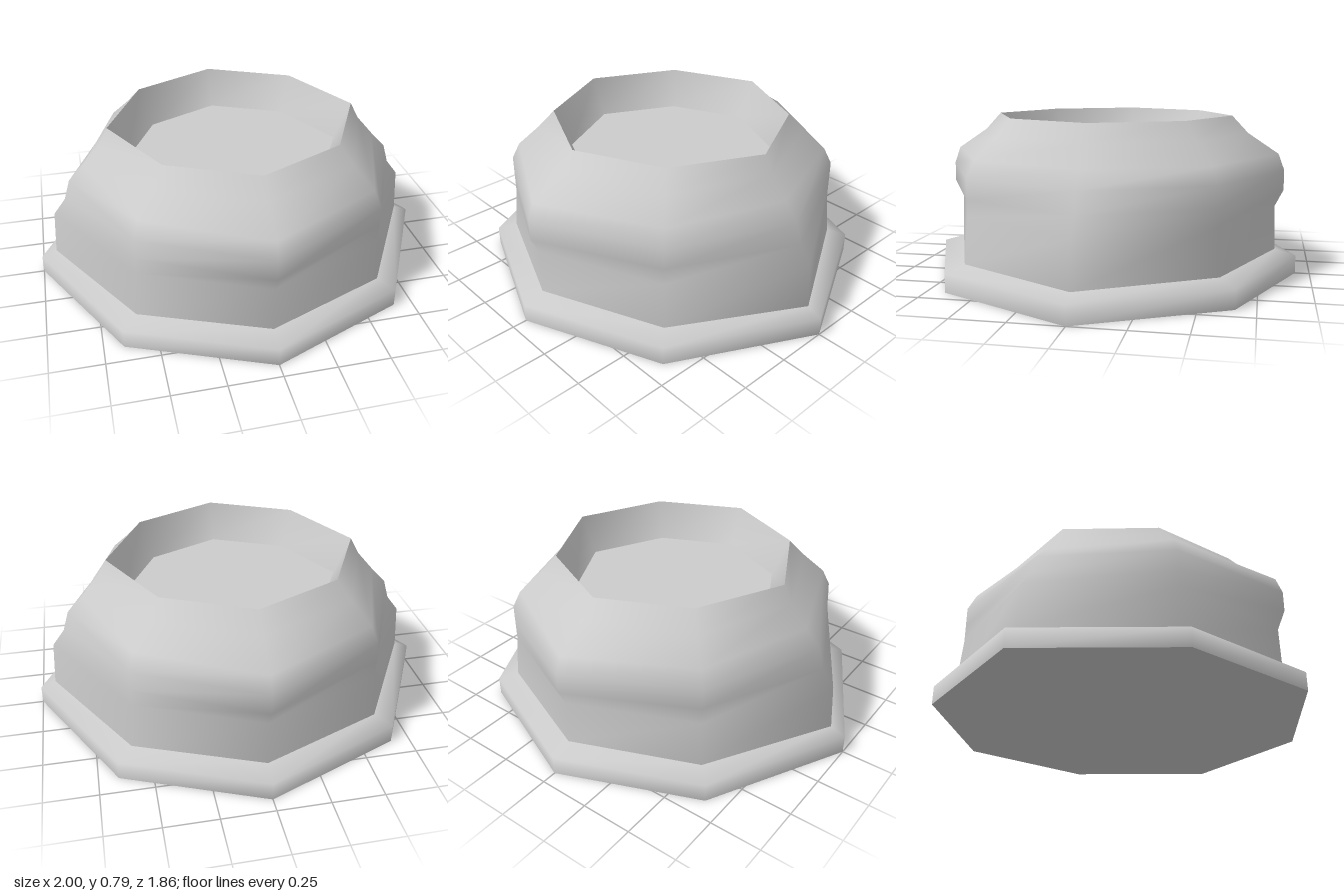
import * as THREE from 'three';

const SIDES = 8;
const material = new THREE.MeshStandardMaterial({ color: 0xcccccc, side: THREE.DoubleSide });

// Each ring: height, reach of the side corners (x), end corners (z) and diagonal corners
const flangeRings = [
  [0.0, 1.0, 0.93, 0.93],
  [0.09, 1.0, 0.93, 0.93],
  [0.12, 0.925, 0.825, 0.83],
];
const bodyRings = [
  [0.12, 0.925, 0.825, 0.83],
  [0.34, 0.91, 0.82, 0.81],
  [0.42, 0.85, 0.86, 0.81],
  [0.52, 0.82, 0.86, 0.81],
  [0.6, 0.745, 0.83, 0.77],
  [0.7, 0.66, 0.68, 0.66],
  [0.785, 0.615, 0.6, 0.58],
];
const recessRings = [
  [0.785, 0.615, 0.6, 0.58],
  [0.6, 0.535, 0.515, 0.5],
];

// Corners of one eight-sided ring
function corners([y, rx, rz, rd]) {
  const points = [];
  for (let i = 0; i < SIDES; i++) {
    const a = (i / SIDES) * Math.PI * 2;
    const r = i % 2 ? rd : i % 4 ? rz : rx;
    points.push(r * Math.cos(a), y, r * Math.sin(a));
  }
  return points;
}

function mesh(name, positions, index) {
  const geometry = new THREE.BufferGeometry();
  geometry.setAttribute('position', new THREE.Float32BufferAttribute(positions, 3));
  geometry.setIndex(index);
  geometry.computeVertexNormals();
  const part = new THREE.Mesh(geometry, material);
  part.name = name;
  return part;
}

// Smooth wall through a stack of rings
function loft(name, rings) {
  const index = [];
  for (let k = 0; k < rings.length - 1; k++) {
    for (let i = 0; i < SIDES; i++) {
      const a = k * SIDES + i;
      const b = k * SIDES + ((i + 1) % SIDES);
      index.push(a, a + SIDES, b, b, a + SIDES, b + SIDES);
    }
  }
  return mesh(name, rings.flatMap(corners), index);
}

// Flat cap over one ring
function cap(name, ring, facesUp) {
  const index = [];
  for (let i = 0; i < SIDES; i++) {
    const next = (i + 1) % SIDES;
    index.push(SIDES, facesUp ? next : i, facesUp ? i : next);
  }
  return mesh(name, [...corners(ring), 0, ring[0], 0], index);
}

export function createModel() {
  const model = new THREE.Group();
  model.name = 'octagonalBase';
  model.add(
    loft('flange', flangeRings),
    loft('body', bodyRings),
    loft('recessWall', recessRings),
    cap('recessFloor', recessRings[1], true),
    cap('underside', flangeRings[0], false),
  );
  return model;
}
